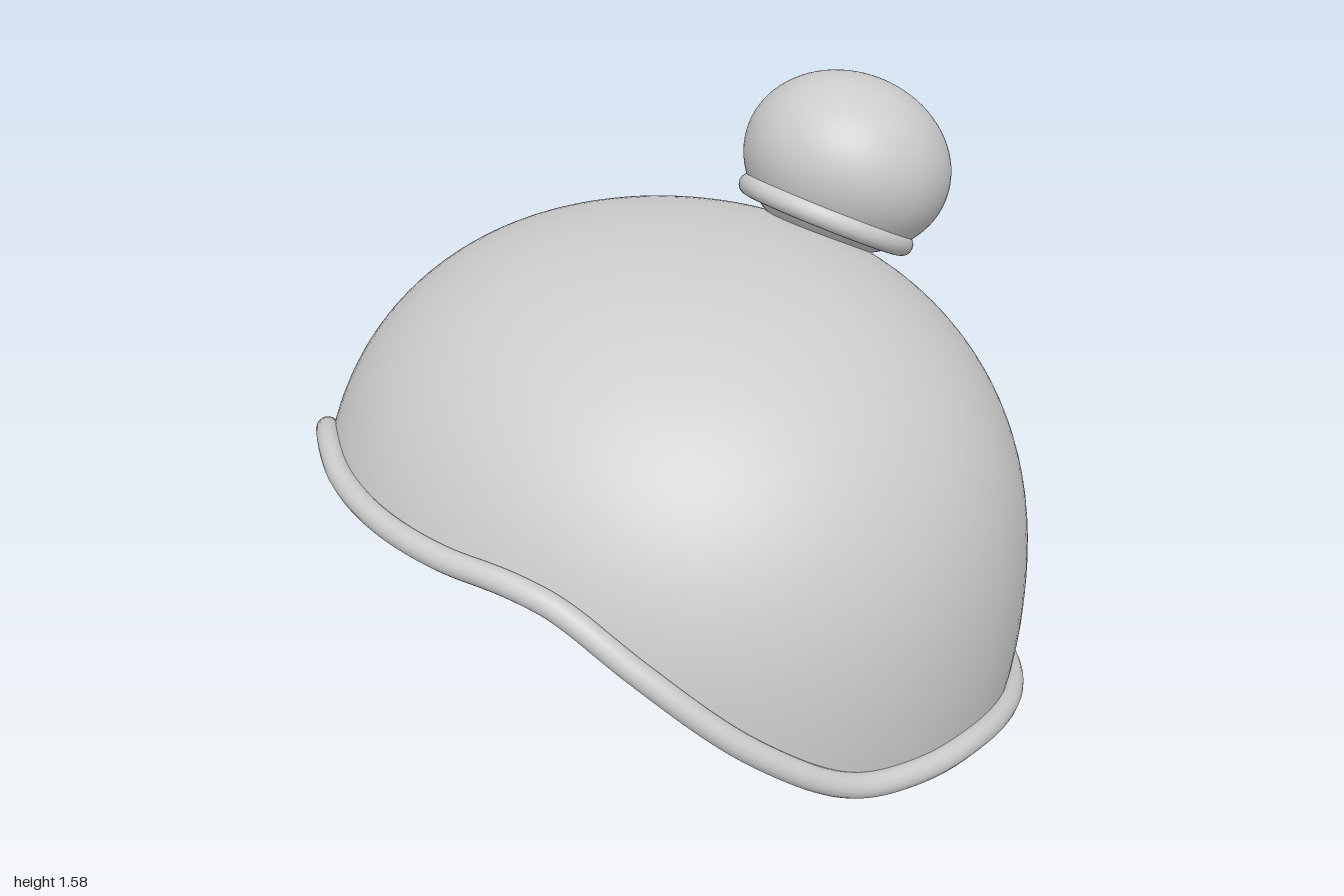
import * as THREE from 'three';

const WIDTH = 0.965, DEPTH = 0.89; // half sizes of the dome in plan
const WAIST = 0.42, TOP = 1.285, POWER = 2.3;

// Height of the brim edge by plan angle: -90 deg is the back, 0 the side, +90 deg the front
const edge = new THREE.CubicInterpolant(
  [-1.571, -1.24, -1.0, -0.76, -0.472, -0.23, 0, 0.227, 0.472, 0.76, 0.95, 1.1, 1.3, 1.571],
  [0.03, 0.047, 0.082, 0.127, 0.19, 0.23, 0.247, 0.285, 0.42, 0.625, 0.735, 0.768, 0.77, 0.77], 1);
const edgeHeight = (a) => edge.evaluate(Math.asin(Math.sin(a) * 0.999999))[0];

// Relative dome radius at a height: rounded above the waist, tucked in slightly below
function domeRadius(y) {
  if (y < WAIST) return 1 - 0.36 * (WAIST - y) ** 2;
  const h = Math.min((y - WAIST) / (TOP - WAIST), 1);
  return Math.max(1 - h ** POWER, 0) ** (1 / POWER);
}

function domePoint(a, y, offset = 0) {
  const r = domeRadius(y);
  return new THREE.Vector3(
    (WIDTH * r + offset) * Math.cos(a), y, (DEPTH * r + offset) * Math.sin(a));
}

function domeGeometry(columns = 128, rows = 40) {
  const positions = [], index = [];
  for (let j = 0; j < rows; j++) {
    for (let i = 0; i < columns; i++) {
      const a = (i / columns) * Math.PI * 2;
      const y = TOP - (TOP - edgeHeight(a)) * (1 - j / rows) ** POWER;
      positions.push(...domePoint(a, y).toArray());
    }
  }
  const apex = positions.length / 3;
  positions.push(0, TOP, 0);
  for (let j = 0; j < rows; j++) {
    for (let i = 0; i < columns; i++) {
      const n = (i + 1) % columns;
      const a = j * columns + i, b = j * columns + n;
      if (j === rows - 1) {
        index.push(a, apex, b);
      } else {
        index.push(a, a + columns, b, b, a + columns, b + columns);
      }
    }
  }
  const geometry = new THREE.BufferGeometry();
  geometry.setAttribute('position', new THREE.Float32BufferAttribute(positions, 3));
  geometry.setIndex(index);
  geometry.computeVertexNormals();
  return geometry;
}

export function createModel() {
  const model = new THREE.Group();
  model.name = 'bobbleHat';
  const grey = new THREE.MeshStandardMaterial({ color: 0xcccccc, side: THREE.DoubleSide });
  grey.name = 'light grey';

  const add = (parent, name, geometry) => {
    const mesh = new THREE.Mesh(geometry, grey);
    mesh.name = name;
    parent.add(mesh);
    return mesh;
  };

  // Open dome shell, cut along the brim edge
  add(model, 'dome', domeGeometry());

  // Rolled brim following the cut edge
  const points = [];
  for (let i = 0; i < 96; i++) {
    const a = (i / 96) * Math.PI * 2;
    points.push(domePoint(a, edgeHeight(a), 0.014));
  }
  const path = new THREE.CatmullRomCurve3(points, true);
  add(model, 'brimRoll', new THREE.TubeGeometry(path, 240, 0.03, 16, true));

  // Flattened bobble on a ring, tilted towards the back
  const bobble = new THREE.Group();
  bobble.name = 'bobble';
  bobble.position.set(0, 1.345, -0.57);
  bobble.rotation.x = -0.472;
  const ball = add(bobble, 'bobbleBall', new THREE.SphereGeometry(0.275, 64, 40));
  ball.scale.y = 0.23 / 0.275;
  const ring = add(bobble, 'bobbleRing', new THREE.TorusGeometry(0.213, 0.03, 16, 64));
  ring.rotation.x = Math.PI / 2;
  ring.position.y = -0.145;
  model.add(bobble);

  return model;
}
